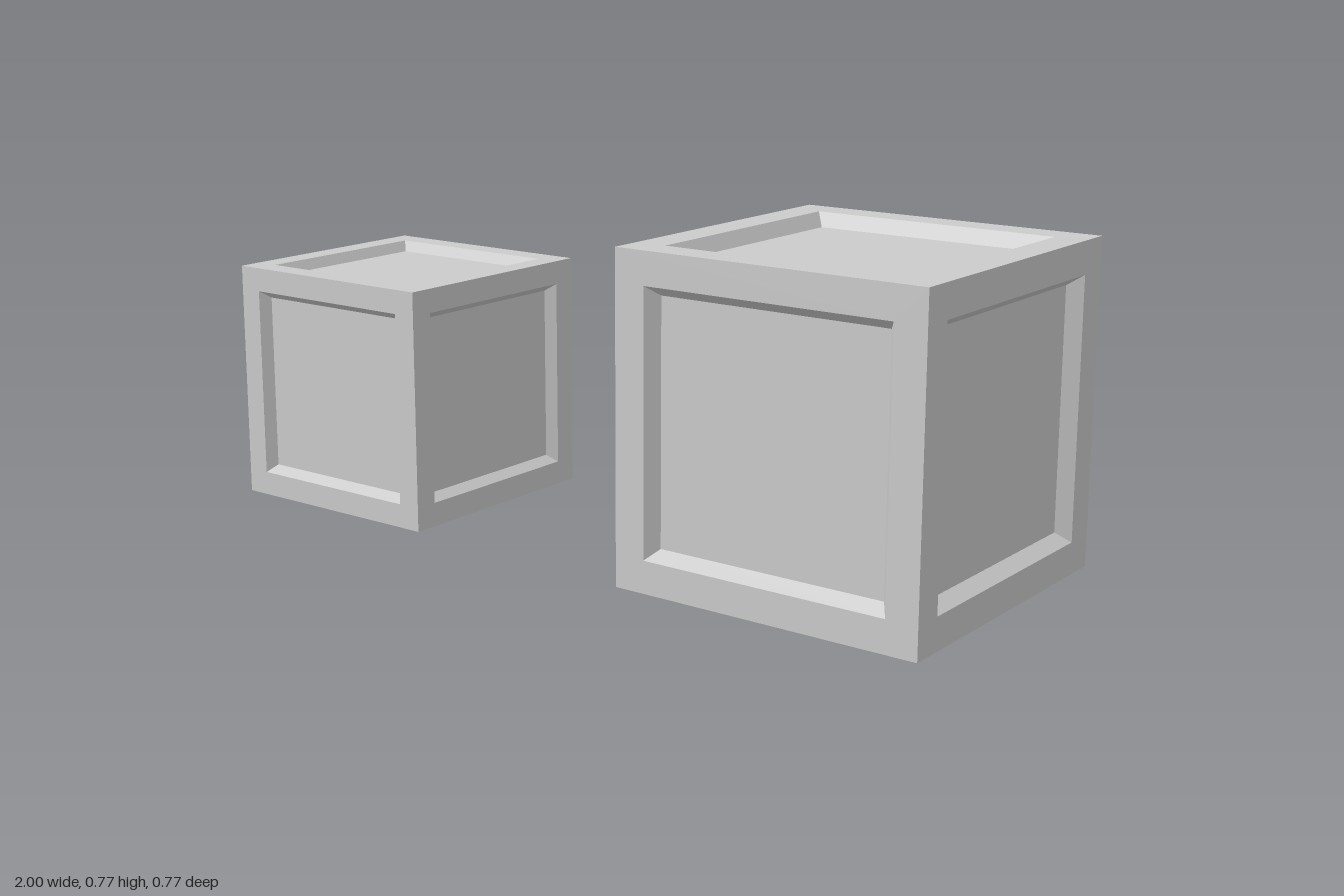
import * as THREE from 'three';

const material = new THREE.MeshStandardMaterial({ color: 0xcccccc, flatShading: true, side: THREE.DoubleSide });

// Square face of a unit cube, facing +y: flat frame, bevelled step, sunken panel
function panelGeometry() {
  const border = 0.1, bevel = 0.03, depth = 0.043;
  const profile = [
    [0.5, 0.5],
    [0.5 - border, 0.5],
    [0.5 - border - bevel, 0.5 - depth],
    [0, 0.5 - depth],
  ].map(([half, y]) => new THREE.Vector2(half * Math.SQRT2, y));
  // Four segments turned by 45 degrees give a square
  const geometry = new THREE.LatheGeometry(profile, 4, Math.PI / 4).toNonIndexed();
  geometry.computeVertexNormals();
  return geometry;
}

// Crate with a top and four sides, open underneath
function createCrate(name, size, x, z) {
  const crate = new THREE.Group();
  crate.name = name;
  const geometry = panelGeometry();

  const top = new THREE.Mesh(geometry, material);
  top.name = 'topPanel';
  crate.add(top);

  ['frontPanel', 'leftPanel', 'backPanel', 'rightPanel'].forEach((side, i) => {
    const panel = new THREE.Mesh(geometry, material);
    panel.name = side;
    panel.rotation.set(Math.PI / 2, i * Math.PI / 2, 0, 'YXZ');
    crate.add(panel);
  });

  crate.scale.setScalar(size);
  crate.position.set(x, size / 2, z);
  return crate;
}

export function createModel() {
  const model = new THREE.Group();
  model.name = 'crates';
  model.add(createCrate('largeCrate', 0.773, 0.6135, 0));
  model.add(createCrate('smallCrate', 0.594, -0.703, 0.061));
  return model;
}
